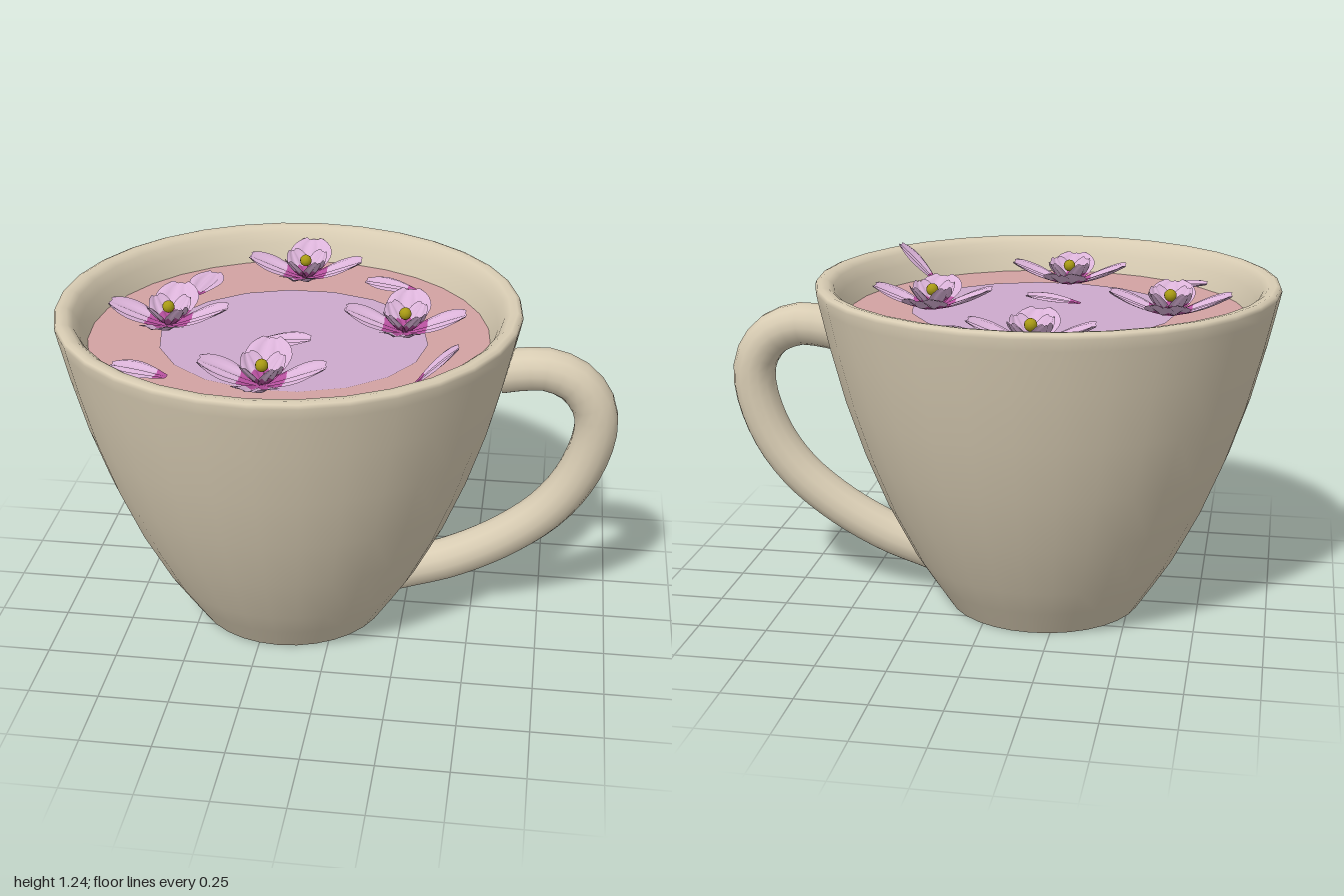
import * as THREE from 'three';

const mat = (name, color, side = THREE.FrontSide) => {
  const m = new THREE.MeshStandardMaterial({ color, side });
  m.name = name;
  return m;
};

export function createModel() {
  const model = new THREE.Group();
  const ceramic = mat('cream ceramic', 0xd8ccb3);
  const rose = mat('rose liquid', 0xd2a2a2);
  const lilac = mat('lilac liquid', 0xcdaacd);
  const petalPink = mat('pale orchid', 0xdcb4da, THREE.DoubleSide);
  const petalBase = mat('magenta', 0xb44f9c, THREE.DoubleSide);
  const pollen = mat('golden pollen', 0xa89a14);

  const CX = -0.18;       // cup axis
  const LEVEL = 1.085;    // liquid surface

  const add = (parent, name, geometry, material, x = 0, y = 0, z = 0) => {
    const mesh = new THREE.Mesh(geometry, material);
    mesh.name = name;
    mesh.position.set(x, y, z);
    parent.add(mesh);
    return mesh;
  };

  // Cup wall: outside, rounded rim and inside in one profile
  const profile = [
    [0.355, 0], [0.42, 0.1], [0.483, 0.2], [0.583, 0.4], [0.663, 0.6], [0.728, 0.8],
    [0.779, 1.0], [0.812, 1.15], [0.82, 1.19], [0.815, 1.204], [0.8, 1.21],
    [0.775, 1.205], [0.755, 1.19], [0.735, 1.15], [0.715, 1.1], [0.695, 1.04],
  ].map(([r, y]) => new THREE.Vector2(r, y));
  add(model, 'cupWall', new THREE.LatheGeometry(profile, 32), ceramic, CX);
  add(model, 'cupBase', new THREE.CircleGeometry(0.355, 32).rotateX(Math.PI / 2), ceramic, CX);

  // Handle
  const path = new THREE.CatmullRomCurve3([
    [0.57, 0.985], [0.65, 1.0], [0.74, 1.003], [0.84, 0.96], [0.905, 0.87], [0.915, 0.77],
    [0.865, 0.6], [0.765, 0.45], [0.61, 0.32], [0.42, 0.215], [0.28, 0.165], [0.19, 0.135],
  ].map(([x, y]) => new THREE.Vector3(x, y, 0)));
  add(model, 'handle', new THREE.TubeGeometry(path, 28, 0.078, 14), ceramic);

  // Liquid with a lilac pool in the middle
  add(model, 'liquid', new THREE.CircleGeometry(0.71, 32).rotateX(-Math.PI / 2), rose, CX, LEVEL);
  const pool = add(model, 'liquidCentre', new THREE.CircleGeometry(1, 18).rotateX(-Math.PI / 2),
    lilac, -0.16, LEVEL + 0.003, 0.035);
  pool.scale.set(0.475, 1, 0.44);

  // One strip of a petal between u0 and u1, growing along +x with soft ridges
  function petalStrip(u0, u1, length, width, rise, curl) {
    const rows = 7, cols = 12;
    const geo = new THREE.PlaneGeometry(1, 1, cols, rows);
    const p = geo.attributes.position;
    for (let i = 0; i < p.count; i++) {
      const v = p.getX(i) * 2;
      const u = u0 + (u1 - u0) * (p.getY(i) + 0.5);
      const half = width / 2 * (0.2 + 0.8 * Math.sin(Math.min(1, u * 1.45) * Math.PI / 2))
        * Math.sqrt(Math.max(0, 1 - Math.pow(Math.max(0, u - 0.55) / 0.5, 2)));
      const ridge = 0.006 * Math.cos(v * Math.PI * 3) * Math.sin(u * Math.PI * 0.9);
      const notch = 1 - 0.05 * u * (0.5 + 0.5 * Math.cos(v * Math.PI * 4)) * Math.abs(v);
      p.setXYZ(i, u * length * notch,
        rise * Math.pow(u, 1.3) + curl * v * v * Math.sin(u * Math.PI * 0.8) + ridge, -half * v);
    }
    geo.computeVertexNormals();
    return geo;
  }

  function petalParts(length, width, rise, curl, split) {
    return [
      ['petalBase', petalStrip(0, split, length, width, rise, curl), petalBase],
      ['petalBlade', petalStrip(split, 1, length, width, rise, curl), petalPink],
    ];
  }

  function petal(parts, name, angle) {
    const g = new THREE.Group();
    g.name = name;
    g.rotation.y = angle;
    parts.forEach(([n, geo, m]) => add(g, n, geo, m));
    return g;
  }

  // Flowers: four wide petals, four short upright ones and a pollen ball
  const outer = petalParts(0.215, 0.165, 0.075, 0.016, 0.36);
  const inner = petalParts(0.085, 0.095, 0.085, 0.014, 0.5);
  const ball = new THREE.SphereGeometry(0.022, 12, 8);
  [[-0.2, -0.515], [-0.615, -0.005], [0.225, -0.055], [-0.2, 0.44]].forEach(([x, z]) => {
    const flower = new THREE.Group();
    flower.name = 'flower';
    flower.position.set(x, LEVEL + 0.008, z);
    for (let i = 0; i < 4; i++) {
      flower.add(petal(outer, 'outerPetal', i * Math.PI / 2));
      flower.add(petal(inner, 'innerPetal', (i + 0.5) * Math.PI / 2));
    }
    add(flower, 'flowerCentre', ball, pollen, 0, 0.07, 0);
    model.add(flower);
  });

  // Loose petals: base x, z, tip x, z and tilt
  const loose = petalParts(0.2, 0.13, 0.01, 0.012, 0.2);
  [
    [0.235, -0.43, 0.04, -0.45, 0.05], [-0.585, -0.27, -0.54, -0.46, 0.05],
    [-0.285, 0.105, -0.09, 0.11, 0.05], [-0.525, 0.43, -0.72, 0.41, 0.05],
    [0.3, 0.37, 0.44, 0.375, 0.72],
  ].forEach(([x, z, tx, tz, tilt]) => {
    const g = petal(loose, 'loosePetal', Math.atan2(z - tz, tx - x));
    g.rotation.z = tilt;
    g.position.set(x, LEVEL + 0.012, z);
    model.add(g);
  });

  return model;
}
